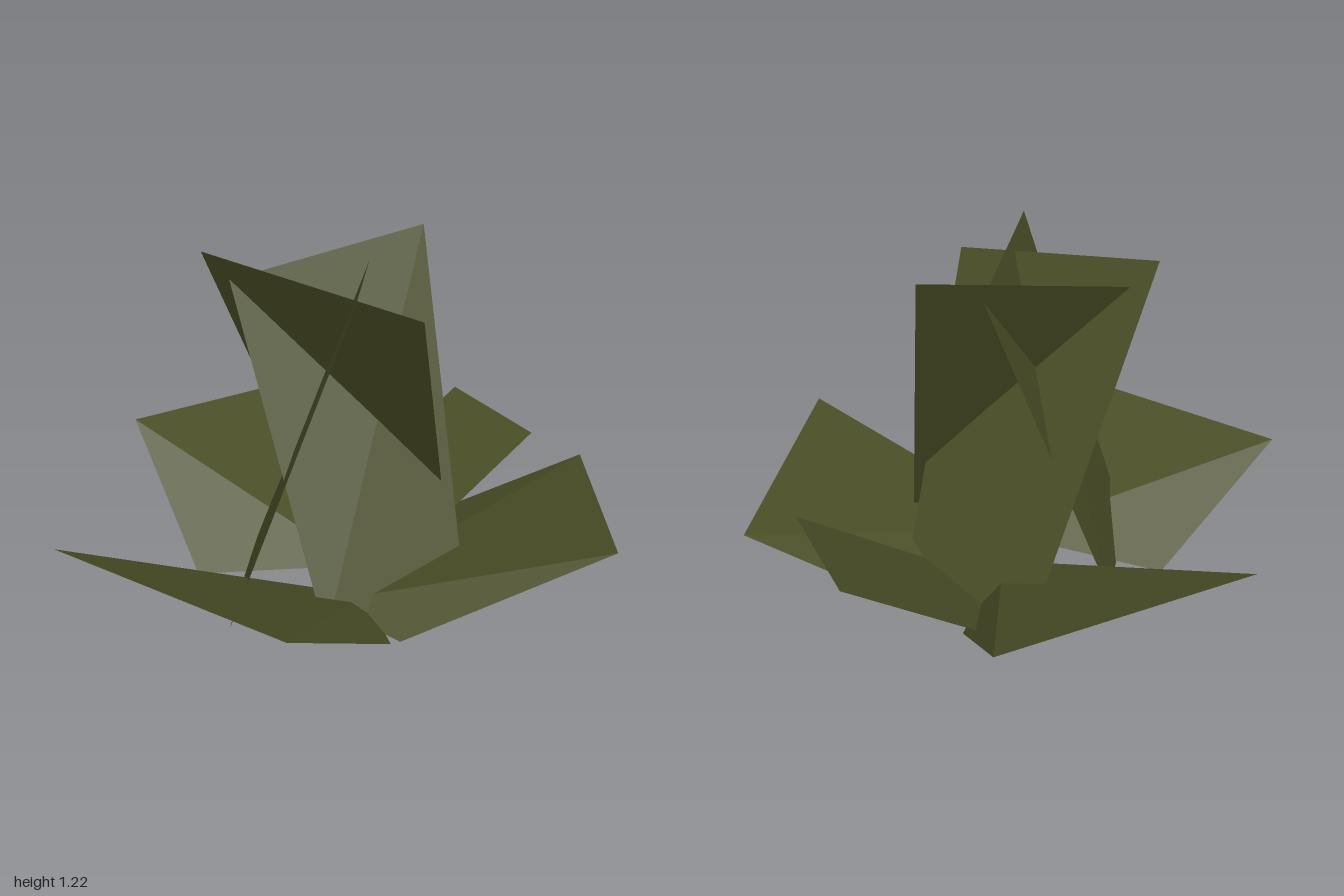
import * as THREE from 'three';

// Sheet of flat triangles fanned around its first point
function fan(name, points, material) {
  const pos = [];
  for (let i = 1; i < points.length - 1; i++) {
    pos.push(...points[0], ...points[i], ...points[i + 1]);
  }
  const geo = new THREE.BufferGeometry();
  geo.setAttribute('position', new THREE.Float32BufferAttribute(pos, 3));
  geo.computeVertexNormals();
  const mesh = new THREE.Mesh(geo, material);
  mesh.name = name;
  return mesh;
}

export function createModel() {
  const group = new THREE.Group();
  group.name = 'leafyPlant';
  const leafGreen = new THREE.MeshStandardMaterial({ color: 0x4a4e26, side: THREE.DoubleSide });
  leafGreen.name = 'leafGreen';

  // Spreading leaves: inner point, then base, tip, tip, base; folds run from the inner point to the tips
  const outer = {
    backRightLeaf: [[-0.53, 0.01, 0.10], [-0.86, 0.37, -0.43], [-0.13, 0.36, -1.0], [0.10, 0.01, -0.42]],
    frontRightLeaf: [[-0.53, 0.01, 0.10], [-0.90, 0.37, 0.55], [-0.09, 0.37, 1.0], [0.19, 0.01, 0.48]],
    leftLeaf: [[0.22, 0.01, 0.465], [0.90, 0.41, 0.50], [0.87, 0.30, -0.40], [0.22, 0.01, -0.34]],
    backLeftLeaf: [[-0.12, 0, -0.43], [0.39, 0.39, -0.80], [0.68, 0.39, -0.39], [0.17, 0, -0.02]],
  };
  const inner = {
    backRightLeaf: [0.05, 0.03, 0.03],
    frontRightLeaf: [0.08, 0.03, 0.22],
    leftLeaf: [-0.06, 0.03, 0.28],
  };
  for (const [name, corners] of Object.entries(outer)) {
    group.add(fan(name, inner[name] ? [inner[name], ...corners] : corners, leafGreen));
  }

  // Upright leaves: three leaning sheets interlocked around the centre
  const upright = [
    [[-0.47, 1.22, 0.05], [0.27, 1.12, 0.38], [0.38, 0.01, -0.13], [-0.12, 0.01, -0.38]],
    [[0.25, 1.22, -0.32], [-0.38, 1.125, 0.05], [-0.03, 0.01, 0.45], [0.44, 0.01, 0.20]],
    [[0.07, 1.22, 0.54], [0.07, 1.13, -0.18], [-0.36, 0.01, -0.08], [-0.36, 0.01, 0.43]],
  ];
  upright.forEach((corners, i) => group.add(fan('uprightLeaf' + (i + 1), corners, leafGreen)));

  return group;
}
